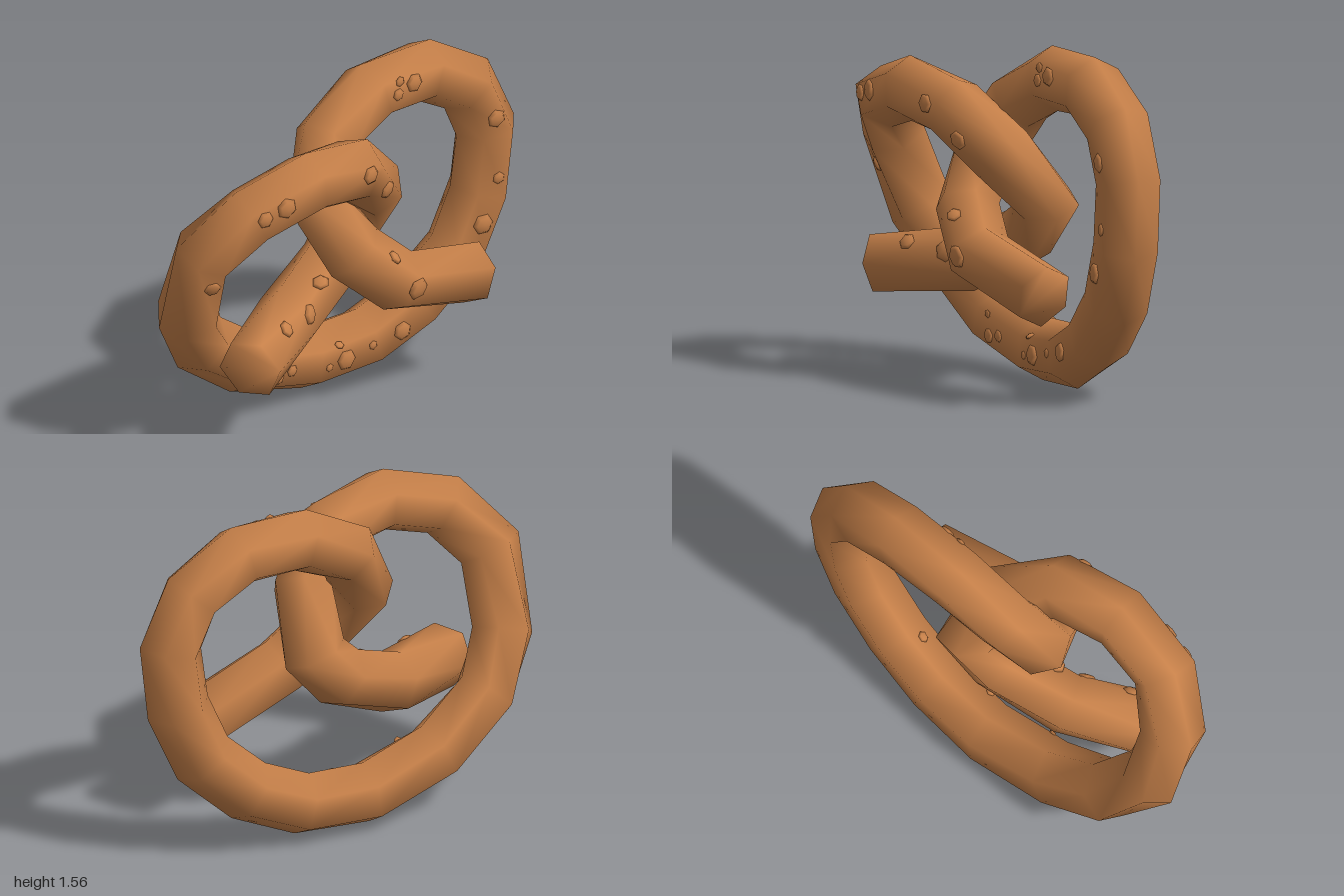
import * as THREE from 'three';

const SIDES = 6;
const RADIUS = 0.147;

// Centre line of the dough rope, from the left-hand end to the right-hand end
const PATH = [
  [-0.685, 0.475, 0.335], [-0.32, 0.535, 0.03], [-0.02, 0.68, -0.12], [0.12, 0.84, -0.18],
  [0.1, 1.07, 0.02], [-0.08, 1.265, 0.19], [-0.37, 1.31, 0.295], [-0.67, 1.225, 0.31],
  [-0.855, 1.03, 0.21], [-0.865, 0.68, 0.08], [-0.73, 0.45, -0.06], [-0.46, 0.25, -0.15],
  [-0.1, 0.15, -0.24], [0.22, 0.165, -0.28], [0.48, 0.28, -0.3], [0.7, 0.48, -0.31],
  [0.82, 0.75, -0.315], [0.855, 1.05, -0.315], [0.75, 1.285, -0.3], [0.51, 1.425, -0.26],
  [0.2, 1.42, -0.19], [-0.06, 1.28, -0.11], [-0.17, 1.05, 0.0], [-0.05, 0.82, 0.135],
  [0.16, 0.64, 0.15], [0.615, 0.51, 0.0],
].map((p) => new THREE.Vector3(...p));

// Salt grains as [x, y, radius], dropped onto the front of the rope
const SALT = [
  [-0.66, 1.25, 0.04], [-0.55, 1.28, 0.05], [-0.07, 1.29, 0.045], [0.07, 1.14, 0.045],
  [0.095, 0.81, 0.035], [0.2, 0.64, 0.055], [-0.85, 0.89, 0.04], [-0.47, 0.6, 0.04],
  [-0.29, 0.58, 0.05], [-0.19, 0.68, 0.04], [0.3, 1.49, 0.025], [0.29, 1.43, 0.03],
  [0.38, 1.46, 0.045], [0.84, 1.14, 0.045], [0.855, 0.84, 0.03], [0.775, 0.63, 0.05],
  [-0.32, 0.28, 0.02], [-0.33, 0.18, 0.035], [-0.25, 0.19, 0.03], [0.02, 0.23, 0.022],
  [-0.035, 0.135, 0.02], [0.055, 0.15, 0.05], [0.2, 0.18, 0.022], [0.355, 0.21, 0.045],
  [0.375, 0.355, 0.027],
];

// Six-sided rings around the path, joined into a smooth tube with closed ends
function ropeGeometry() {
  const last = PATH.length - 1;
  const pos = [], index = [];
  PATH.forEach((c, i) => {
    const t = new THREE.Vector3();
    if (i > 0) t.add(c.clone().sub(PATH[i - 1]).normalize());
    if (i < last) t.add(PATH[i + 1].clone().sub(c).normalize());
    t.normalize();
    const n = new THREE.Vector3(0, 0, 1).addScaledVector(t, -t.z).normalize();
    const b = t.clone().cross(n);
    // A flat side faces forward, except at the first end, where a corner does
    const phase = i === 0 ? 0 : 0.5;
    for (let j = 0; j < SIDES; j++) {
      const a = ((j + phase) / SIDES) * Math.PI * 2;
      const p = c.clone().addScaledVector(n, RADIUS * Math.cos(a)).addScaledVector(b, RADIUS * Math.sin(a));
      pos.push(p.x, p.y, p.z);
    }
  });
  for (let i = 0; i < last; i++) {
    for (let j = 0; j < SIDES; j++) {
      const a = i * SIDES + j, b = i * SIDES + ((j + 1) % SIDES);
      index.push(a, b, a + SIDES, b, b + SIDES, a + SIDES);
    }
  }
  // End caps share the rim so that the ends look softly rounded
  const end = last * SIDES;
  for (let j = 1; j < SIDES - 1; j++) {
    index.push(0, j + 1, j, end, end + j, end + j + 1);
  }
  const g = new THREE.BufferGeometry();
  g.setAttribute('position', new THREE.Float32BufferAttribute(pos, 3));
  g.setIndex(index);
  g.computeVertexNormals();
  return g;
}

export function createModel() {
  const group = new THREE.Group();
  group.name = 'pretzel';
  const crust = new THREE.MeshStandardMaterial({ color: 0xc68049 });
  crust.name = 'bakedCrust';

  const rope = new THREE.Mesh(ropeGeometry(), crust);
  rope.name = 'doughRope';
  group.add(rope);

  // Flattened six-sided grains lying on the crust
  const salt = new THREE.Group();
  salt.name = 'saltGrains';
  const grainGeometry = new THREE.SphereGeometry(1, 6, 4);
  const up = new THREE.Vector3(0, 1, 0);
  const ray = new THREE.Raycaster();
  SALT.forEach(([x, y, r], i) => {
    ray.set(new THREE.Vector3(x, y, 2), new THREE.Vector3(0, 0, -1));
    const hit = ray.intersectObject(rope)[0];
    if (!hit) return;
    const grain = new THREE.Mesh(grainGeometry, crust);
    grain.name = 'saltGrain' + (i + 1);
    grain.position.copy(hit.point);
    grain.quaternion.setFromUnitVectors(up, hit.face.normal);
    grain.rotateY(i * 0.7);
    grain.scale.set(r, r * 0.4, r);
    salt.add(grain);
  });
  group.add(salt);
  return group;
}
